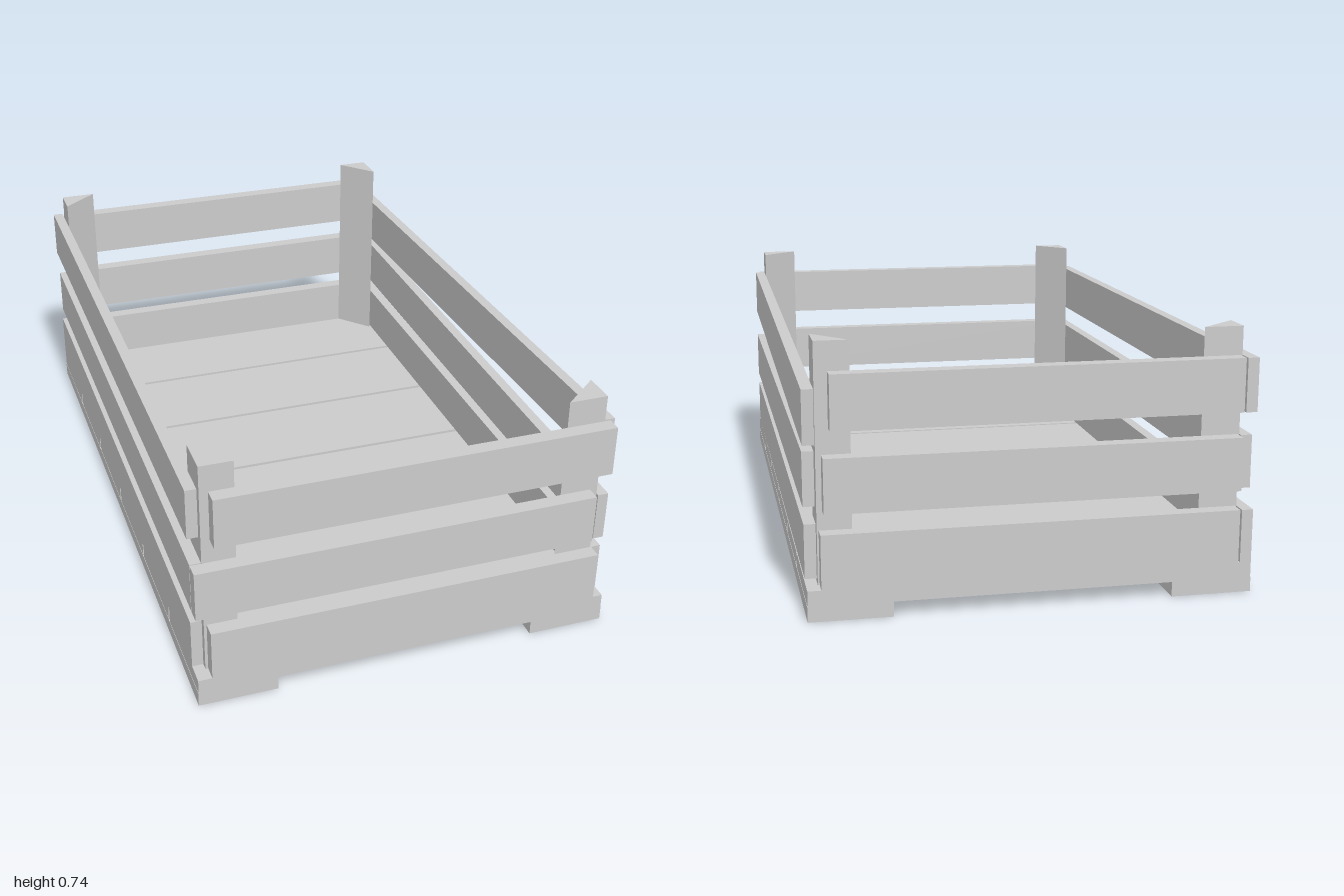
import * as THREE from 'three';

const material = new THREE.MeshStandardMaterial({ color: 0xcccccc, flatShading: true });

export function createModel() {
  const crate = new THREE.Group();
  crate.name = 'slattedCrate';

  const add = (name, geometry) => {
    const mesh = new THREE.Mesh(geometry, material);
    mesh.name = name;
    crate.add(mesh);
    return mesh;
  };

  // Board spanning the given limits on each axis
  const board = (name, [x0, x1], [y0, y1], [z0, z1]) => {
    const mesh = add(name, new THREE.BoxGeometry(x1 - x0, y1 - y0, z1 - z0));
    mesh.position.set((x0 + x1) / 2, (y0 + y1) / 2, (z0 + z1) / 2);
    return mesh;
  };

  // Two skids under the floor
  board('leftSkid', [0.385, 0.613], [0, 0.042], [-1, 1]);
  board('rightSkid', [-0.613, -0.385], [0, 0.042], [-1, 1]);

  // Six floor planks with narrow gaps
  const pitch = 2 / 6, gap = 0.013;
  for (let i = 0; i < 6; i++) {
    const z0 = i === 0 ? -1 : -1 + i * pitch + gap / 2 - 0.002;
    const z1 = i === 5 ? 1 : -1 + (i + 1) * pitch - gap / 2 - 0.002;
    board('floorPlank', [-0.612, 0.612], [0.042, 0.086], [z0, z1]);
  }

  // Triangular corner posts: legs along x and z from the inner wall corner
  const post = (name, sx, sz, innerX, innerZ) => {
    const shape = new THREE.Shape([
      new THREE.Vector2(sx * 0.58, -sz * 0.957),
      new THREE.Vector2(sx * innerX, -sz * 0.957),
      new THREE.Vector2(sx * 0.58, -sz * innerZ),
    ]);
    const geometry = new THREE.ExtrudeGeometry(shape, { depth: 0.654, bevelEnabled: false });
    geometry.rotateX(-Math.PI / 2);
    add(name, geometry).position.y = 0.086;
  };
  post('frontLeftPost', 1, 1, 0.465, 0.86);
  post('frontRightPost', -1, 1, 0.485, 0.845);
  post('backLeftPost', 1, -1, 0.487, 0.85);
  post('backRightPost', -1, -1, 0.47, 0.865);

  // Bottom, middle and top slats of each wall
  const rows = [[0.086, 0.236], [0.29, 0.44], [0.51, 0.66]];
  const frontEnds = [[-0.572, 0.583], [-0.612, 0.557], [-0.555, 0.597]];
  const backEnds = [[-0.575, 0.575], [-0.575, 0.565], [-0.575, 0.545]];
  const rightEnds = [[-1, 0.935], [-0.97, 0.953], [-1, 0.935]];
  rows.forEach((row, i) => {
    board('frontSlat', frontEnds[i], row, [0.957, 1]);
    board('backSlat', backEnds[i], row, [-1, -0.957]);
    board('rightSlat', [-0.612, -0.58], row, rightEnds[i]);
  });

  // Left wall slats sit slightly crooked: lower edge height at front and back
  const crooked = [
    { z: [-0.93, 0.957], front: 0.086, back: 0.096 },
    { z: [-0.915, 0.967], front: 0.272, back: 0.29 },
    { z: [-0.942, 0.957], front: 0.513, back: 0.462 },
  ];
  for (const { z, front, back } of crooked) {
    const low = (front + back) / 2;
    const slat = board('leftSlat', [0.58, 0.612], [low, low + 0.15], z);
    slat.rotation.x = Math.atan2(back - front, z[1] - z[0]);
  }

  return crate;
}
